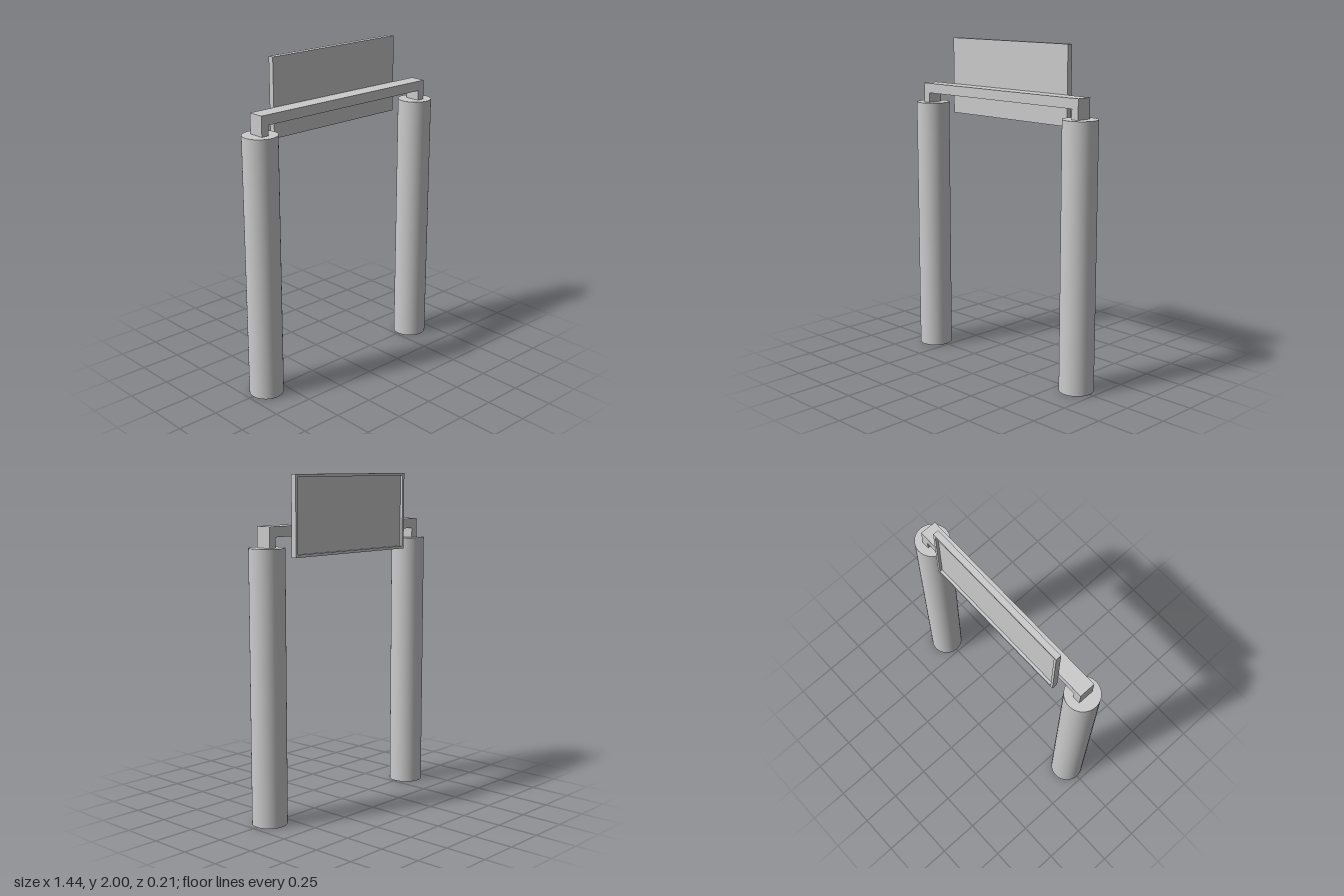
import * as THREE from 'three';

const material = new THREE.MeshStandardMaterial({ color: 0xcccccc });

function addMesh(parent, name, geometry, x = 0, y = 0, z = 0) {
  const mesh = new THREE.Mesh(geometry, material);
  mesh.name = name;
  mesh.position.set(x, y, z);
  parent.add(mesh);
  return mesh;
}

// Closed outline from a list of corner points
const outline = (Type, points) => new Type(points.map(([x, y]) => new THREE.Vector2(x, y)));

const rectangle = (w, h) => [[-w, -h], [w, -h], [w, h], [-w, h]];

export function createModel() {
  const model = new THREE.Group();
  model.name = 'signGantry';

  // Round posts
  const postHeight = 1.595;
  const postGeometry = new THREE.CylinderGeometry(0.103, 0.103, postHeight, 48);
  for (const side of [-1, 1]) {
    addMesh(model, side > 0 ? 'leftPost' : 'rightPost', postGeometry, side * 0.619, postHeight / 2, 0);
  }

  // Crossbeam with short legs standing on the posts
  const beamShape = outline(THREE.Shape, [
    [-0.645, 1.595], [-0.598, 1.595], [-0.598, 1.655], [0.598, 1.655],
    [0.598, 1.595], [0.645, 1.595], [0.645, 1.715], [-0.645, 1.715],
  ]);
  const beamGeometry = new THREE.ExtrudeGeometry(beamShape, { depth: 0.1, bevelEnabled: false });
  addMesh(model, 'crossbeam', beamGeometry, 0, 0, -0.05);

  // Sign: flat panel facing front, with a raised rim around its back
  const sign = new THREE.Group();
  sign.name = 'sign';
  sign.position.set(0, 1.767, -0.05);
  model.add(sign);

  const halfW = 0.475, halfH = 0.233, rim = 0.016, depth = 0.035, plate = 0.018;
  addMesh(sign, 'signPanel', new THREE.BoxGeometry(halfW * 2, halfH * 2, plate), 0, 0, -plate / 2);

  const rimShape = outline(THREE.Shape, rectangle(halfW, halfH));
  rimShape.holes.push(outline(THREE.Path, rectangle(halfW - rim, halfH - rim)));
  const rimGeometry = new THREE.ExtrudeGeometry(rimShape, { depth: depth - plate, bevelEnabled: false });
  addMesh(sign, 'signRim', rimGeometry, 0, 0, -depth);

  return model;
}
